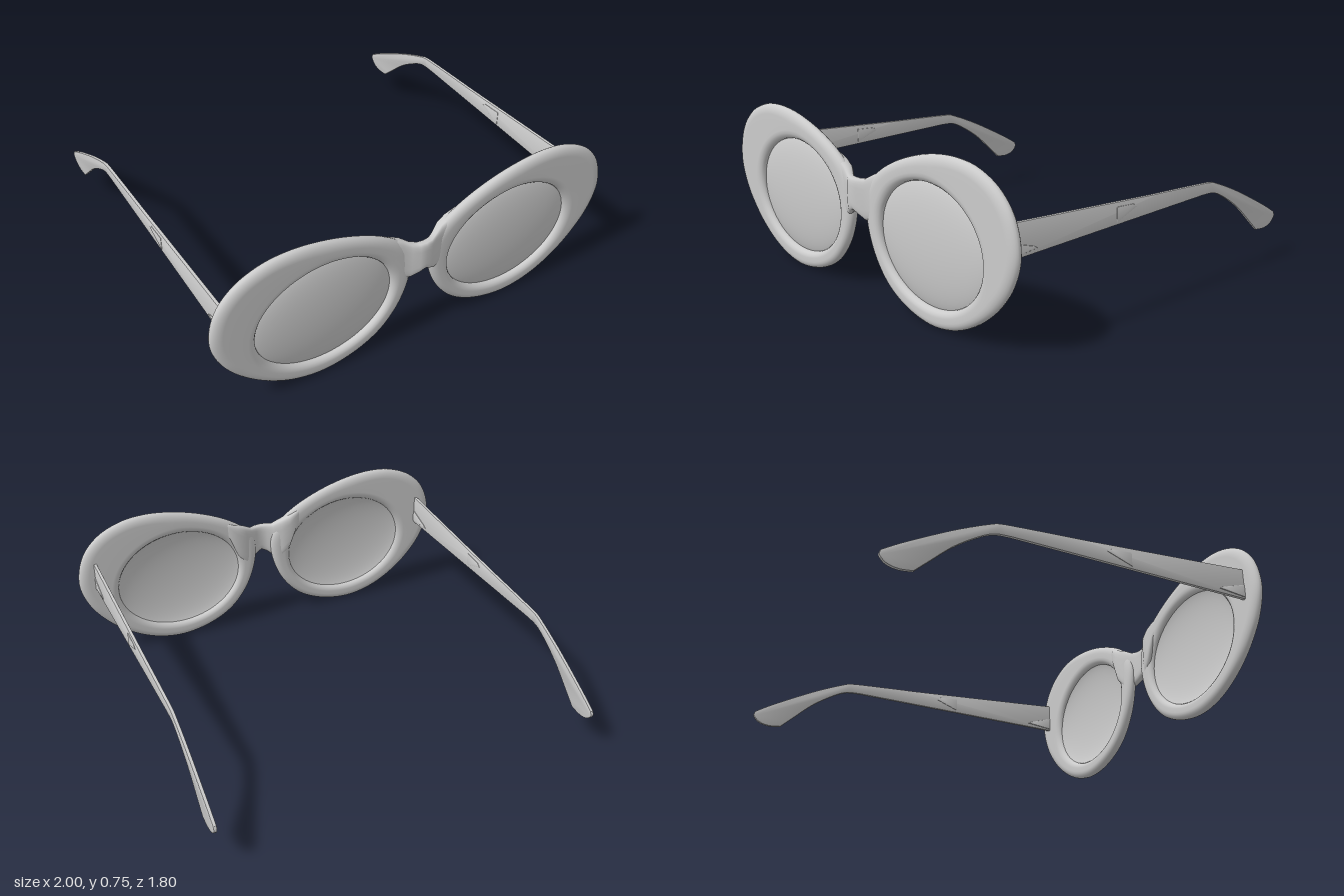
import * as THREE from 'three';
import { toCreasedNormals } from 'three/addons/utils/BufferGeometryUtils.js';

const grey = new THREE.MeshStandardMaterial({ color: 0xcccccc, side: THREE.DoubleSide });
const LENS = { x: 0.475, y: 0.35, rx: 0.328, ry: 0.264 };

// Skin a list of closed rings of [x, y, z] points; wrap also joins last ring to first
function loft(rings, wrap) {
  const n = rings[0].length, m = rings.length, index = [];
  for (let i = 0; i < (wrap ? m : m - 1); i++) {
    for (let j = 0; j < n; j++) {
      const k = (j + 1) % n, p = i * n, q = ((i + 1) % m) * n;
      index.push(p + j, p + k, q + k, p + j, q + k, q + j);
    }
  }
  const geo = new THREE.BufferGeometry();
  geo.setAttribute('position', new THREE.Float32BufferAttribute(rings.flat(2), 3));
  geo.setIndex(index);
  geo.computeVertexNormals();
  return geo;
}

// Oval rim: a rounded section swept between the lens opening and the outer outline
function rimGeometry(side) {
  const outline = [[1, 0.44], [0.965, 0.585], [0.88, 0.68], [0.76, 0.735], [0.64, 0.75], [0.5, 0.737],
    [0.33, 0.69], [0.18, 0.62], [0.09, 0.55], [0.05, 0.48], [0.045, 0.4], [0.07, 0.29], [0.12, 0.19],
    [0.2, 0.1], [0.32, 0.035], [0.48, 0.004], [0.62, 0.025], [0.75, 0.085], [0.88, 0.19], [0.965, 0.31]];
  const curve = new THREE.CatmullRomCurve3(outline.map(([x, y]) => new THREE.Vector3(x, y, 0)), true);
  const half = 10, rings = [];
  for (const p of curve.getSpacedPoints(112).slice(0, 112)) {
    const a = Math.atan2((p.y - LENS.y) / LENS.ry, (p.x - LENS.x) / LENS.rx);
    const inner = new THREE.Vector3(LENS.x + LENS.rx * Math.cos(a), LENS.y + LENS.ry * Math.sin(a), 0);
    const w = inner.distanceTo(p), ro = Math.min(0.05, w * 0.4), ri = Math.min(0.04, w * 0.35);
    const section = [];
    for (const face of [1, -1]) {
      for (let k = 0; k < half; k++) {
        // quarter round at the inner edge, flat middle, quarter round at the outer edge
        const s = face > 0 ? k : half - k;
        const t = s < 5 ? (s / 4) * Math.PI / 2 : ((half - s) / 5) * Math.PI / 2;
        const d = s < 5 ? ri * (1 - Math.cos(t)) : w - ro * (1 - Math.cos(t));
        const z = 0.845 + face * 0.027 * Math.sin(t);
        const q = inner.clone().lerp(p, d / w);
        section.push([side * q.x, q.y, z]);
      }
    }
    rings.push(section);
  }
  if (side < 0) rings.reverse();
  return loft(rings, true);
}

// Bridge: half-width stations [x, bottom, top, back, front] mirrored across the middle
function bridgeGeometry() {
  const st = [[0, 0.4, 0.543, 0.858, 0.903], [0.03, 0.385, 0.543, 0.853, 0.899], [0.06, 0.36, 0.545, 0.836, 0.882],
    [0.1, 0.36, 0.57, 0.813, 0.87], [0.145, 0.41, 0.59, 0.805, 0.866], [0.19, 0.52, 0.61, 0.813, 0.862],
    [0.23, 0.57, 0.62, 0.83, 0.855], [0.24, 0.6, 0.6, 0.845, 0.845]];
  const all = [...st.slice(1).reverse().map(([x, ...r]) => [-x, ...r]), ...st];
  const round = (v) => Math.sign(v) * Math.sqrt(Math.abs(v));
  return loft(all.map(([x, y0, y1, z0, z1]) => Array.from({ length: 24 }, (_, i) => {
    const t = (i / 24) * Math.PI * 2;
    return [x, (y0 + y1) / 2 - round(Math.sin(t)) * (y1 - y0) / 2, (z0 + z1) / 2 + round(Math.cos(t)) * (z1 - z0) / 2];
  })), false);
}

// Flat plate cut in the side plane; shape x is -z
function plate(shape, thickness, bevel) {
  const geo = new THREE.ExtrudeGeometry(shape, {
    depth: thickness - 2 * bevel, bevelThickness: bevel, bevelSize: bevel, bevelOffset: -bevel,
    bevelSegments: 2, curveSegments: 8,
  });
  geo.translate(0, 0, bevel - thickness / 2).rotateY(Math.PI / 2);
  return toCreasedNormals(geo, 0.6);
}

function templeShape() {
  const v = (a, b) => new THREE.Vector2(a, b);
  const s = new THREE.Shape();
  s.moveTo(-0.84, 0.395);
  s.lineTo(0.34, 0.417);
  s.splineThru([v(0.42, 0.41), v(0.5, 0.372), v(0.6, 0.305), v(0.7, 0.215), v(0.76, 0.16)]);
  s.splineThru([v(0.82, 0.155), v(0.87, 0.167), v(0.9, 0.197), v(0.895, 0.222)]);
  s.splineThru([v(0.8, 0.278), v(0.62, 0.372), v(0.5, 0.427), v(0.41, 0.463)]);
  s.splineThru([v(0.36, 0.469), v(0.2, 0.479), v(0, 0.49)]);
  s.lineTo(-0.84, 0.547);
  return s;
}

const polygon = (pts) => new THREE.Shape(pts.map(([a, b]) => new THREE.Vector2(a, b)));

export function createModel() {
  const model = new THREE.Group();
  model.name = 'sunglasses';
  const add = (name, geo, x = 0) => {
    const mesh = new THREE.Mesh(geo, grey);
    mesh.name = name;
    mesh.position.x = x;
    model.add(mesh);
    return mesh;
  };

  add('bridge', bridgeGeometry());

  // Thin domed lens
  const lens = new THREE.SphereGeometry(1, 48, 14, 0, Math.PI * 2, 0, Math.PI / 2.6);
  const edge = Math.sin(Math.PI / 2.6), low = Math.cos(Math.PI / 2.6);
  lens.translate(0, -low, 0).rotateX(Math.PI / 2);
  lens.scale((LENS.rx + 0.008) / edge, (LENS.ry + 0.008) / edge, 0.036 / (1 - low));

  // Arm, hinge wedge and raised arrow
  const arm = plate(templeShape(), 0.016, 0.004);
  const wedge = plate(polygon([[-0.83, 0.402], [-0.68, 0.418], [-0.7, 0.43], [-0.83, 0.47]]), 0.022, 0.003);
  const arrow = plate(polygon([[-0.23, 0.418], [-0.11, 0.462], [-0.13, 0.478], [-0.23, 0.485]]), 0.02, 0.002);

  for (const [side, label] of [[1, 'left'], [-1, 'right']]) {
    add(label + 'Rim', rimGeometry(side));
    add(label + 'Lens', lens, side * LENS.x).position.set(side * LENS.x, LENS.y, 0.84);
    add(label + 'Temple', arm, side * 0.912);
    add(label + 'HingeWedge', wedge, side * 0.912);
    add(label + 'TempleArrow', arrow, side * 0.912);
  }
  return model;
}
